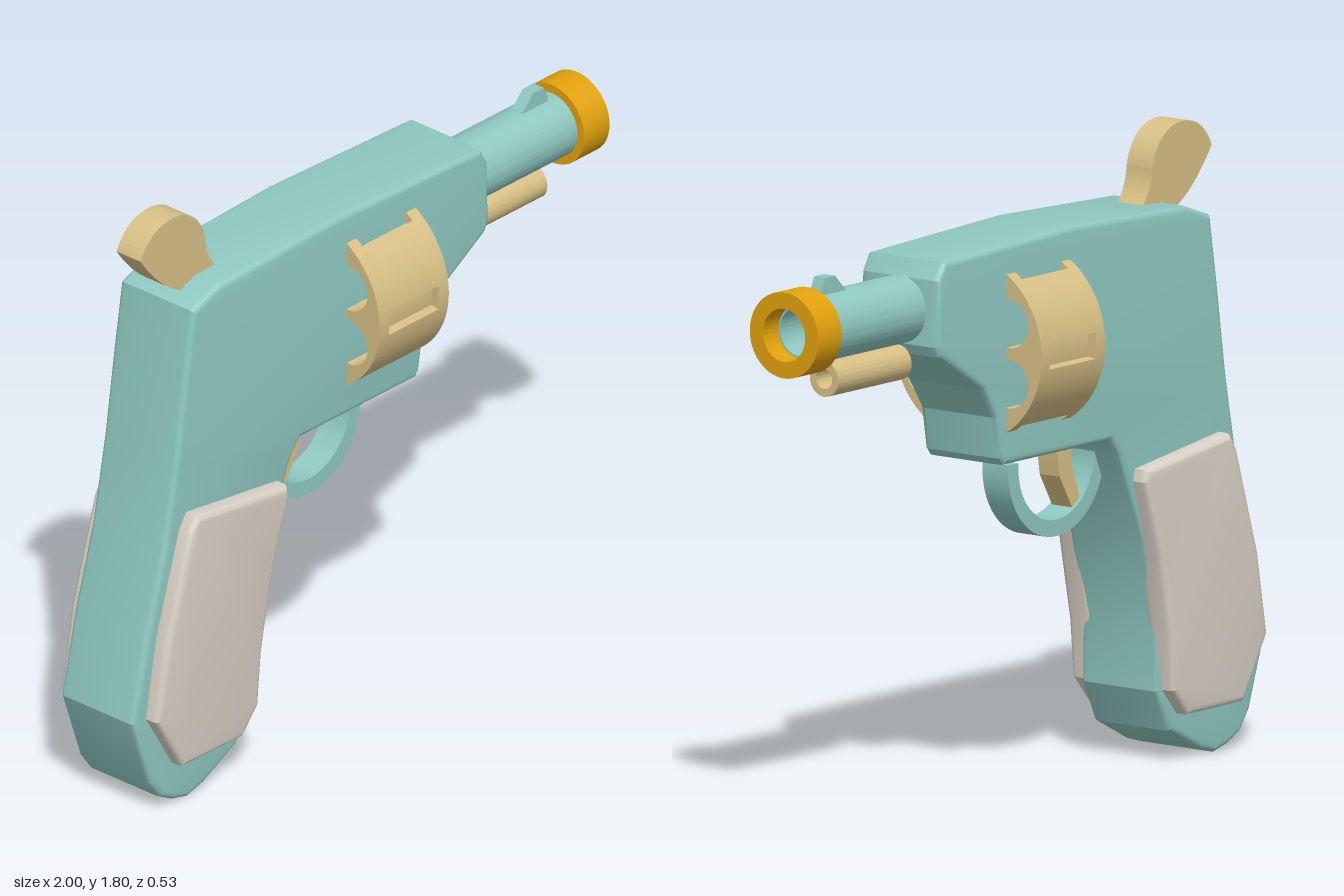
import * as THREE from 'three';
import { toCreasedNormals } from 'three/addons/utils/BufferGeometryUtils.js';

const material = (name, color) => {
  const m = new THREE.MeshStandardMaterial({ color });
  m.name = name;
  return m;
};

const polygon = (points) => new THREE.Shape(points.map(([x, y]) => new THREE.Vector2(x, y)));

// Side-profile plate between two z values, with optional rounded edges
function plate(shape, z0, z1, bevel = 0, crease = 0.3) {
  const g = new THREE.ExtrudeGeometry(shape, {
    depth: z1 - z0 - 2 * bevel, curveSegments: 32,
    bevelEnabled: bevel > 0, bevelSize: bevel, bevelThickness: bevel, bevelOffset: -bevel, bevelSegments: 4,
  });
  g.translate(0, 0, z0 + bevel);
  return toCreasedNormals(g, crease);
}

// Cross-section pushed along x from x0 to x1, centred on height y
function alongX(shape, x0, x1, y) {
  const g = new THREE.ExtrudeGeometry(shape, { depth: x1 - x0, bevelEnabled: false, curveSegments: 40 });
  g.rotateY(Math.PI / 2).translate(x0, y, 0);
  return toCreasedNormals(g, 0.5);
}

function circle(r, hole = 0) {
  const s = new THREE.Shape().absarc(0, 0, r, 0, Math.PI * 2, false);
  if (hole) s.holes.push(new THREE.Path().absarc(0, 0, hole, 0, Math.PI * 2, true));
  return s;
}

// Six chamber holes around the drum axis
function addChambers(shape) {
  for (let i = 0; i < 6; i++) {
    const a = Math.PI / 6 + (i * Math.PI) / 3;
    shape.holes.push(new THREE.Path().absarc(0.172 * Math.cos(a), 0.172 * Math.sin(a), 0.07, 0, Math.PI * 2, true));
  }
  return shape;
}

// Drum outline with six shallow slots
function slottedCircle(r, inner, half) {
  const s = new THREE.Shape();
  for (let i = 0; i < 6; i++) {
    const a = (i * Math.PI) / 3;
    s.absarc(0, 0, inner, a - half, a + half, false);
    s.absarc(0, 0, r, a + half, a + Math.PI / 3 - half, false);
  }
  return s;
}

export function createModel() {
  const model = new THREE.Group();
  model.name = 'toyRevolver';
  const teal = material('teal', 0x8fc8c1);
  const tan = material('tan', 0xd8c086);
  const gold = material('gold', 0xe2a20c);
  const stone = material('stone', 0xd8d0c5);
  const add = (name, geometry, mat, parent = model) => {
    const mesh = new THREE.Mesh(geometry, mat);
    mesh.name = name;
    parent.add(mesh);
    return mesh;
  };

  // Frame and handle in one rounded profile
  add('frame', plate(polygon([
    [-0.75, 1.54], [-0.785, 1.32], [-0.82, 1.08], [-0.87, 0.82], [-0.945, 0.56], [-1, 0.32],
    [-0.925, 0.1], [-0.885, 0.045], [-0.83, 0.015], [-0.77, 0.0], [-0.7, 0.02], [-0.565, 0.09],
    [-0.51, 0.21], [-0.51, 0.4], [-0.455, 0.64], [-0.34, 0.91], [-0.3, 0.96], [0.18, 0.96],
    [0.195, 0.98], [0.215, 1.1], [0.275, 1.19], [0.47, 1.31], [0.485, 1.34], [0.48, 1.53],
    [0.45, 1.58], [-0.13, 1.6], [-0.64, 1.58],
  ]), -0.14, 0.14, 0.018, 0.42), teal);

  // Handle panels, mirrored on both sides
  const panel = polygon([
    [-0.78, 0.915], [-0.81, 0.87], [-0.905, 0.56], [-0.947, 0.32], [-0.84, 0.14], [-0.59, 0.138],
    [-0.525, 0.215], [-0.51, 0.38], [-0.46, 0.63], [-0.395, 0.83], [-0.403, 0.865],
  ]);
  add('leftGripPanel', plate(panel, 0.1, 0.188, 0.02, 0.42), stone);
  add('rightGripPanel', plate(panel, -0.188, -0.1, 0.02, 0.42), stone);

  // Drum: solid ends, slotted middle
  const drum = new THREE.Group();
  drum.name = 'drum';
  model.add(drum);
  const drumY = 1.28;
  add('drumRear', alongX(addChambers(circle(0.266)), -0.112, -0.072, drumY), tan, drum);
  add('drumMiddle', alongX(addChambers(slottedCircle(0.266, 0.238, 0.142)), -0.072, 0.135, drumY), tan, drum);
  add('drumFront', alongX(addChambers(circle(0.266)), 0.135, 0.175, drumY), tan, drum);

  // Barrel, muzzle ring and rod below
  const barrelY = 1.437;
  add('barrel', alongX(circle(0.097, 0.07), 0.46, 0.93, barrelY), teal);
  add('muzzleRing', alongX(circle(0.123, 0.076), 0.895, 1, barrelY), gold);
  add('boreCore', alongX(circle(0.03), 0.47, 0.489, barrelY), tan);
  add('ejectorRod', alongX(circle(0.051, 0.029), 0.49, 0.82, 1.286), tan);

  // Front sight
  add('frontSight', plate(polygon([
    [0.74, 1.51], [0.86, 1.51], [0.855, 1.545], [0.84, 1.58], [0.795, 1.58], [0.75, 1.535],
  ]), -0.02, 0.02), teal);

  // Hammer with rounded spur
  const hammer = new THREE.Shape();
  hammer.moveTo(-0.58, 1.5);
  hammer.lineTo(-0.555, 1.58);
  hammer.quadraticCurveTo(-0.595, 1.625, -0.598, 1.68);
  hammer.bezierCurveTo(-0.62, 1.79, -0.72, 1.82, -0.8, 1.785);
  hammer.quadraticCurveTo(-0.845, 1.76, -0.866, 1.712);
  hammer.quadraticCurveTo(-0.79, 1.6, -0.7, 1.555);
  hammer.lineTo(-0.68, 1.5);
  add('hammer', plate(hammer, -0.046, 0.046), tan);

  // Trigger
  add('trigger', plate(polygon([
    [-0.25, 1], [-0.245, 0.9], [-0.285, 0.79], [-0.25, 0.765], [-0.195, 0.86], [-0.182, 0.94], [-0.182, 1],
  ]), -0.036, 0.036), tan);

  // Open-ended trigger guard band
  const guard = new THREE.Shape();
  guard.absarc(-0.167, 0.913, 0.217, Math.PI * 0.97, Math.PI * 2.025, false);
  guard.absarc(-0.167, 0.913, 0.17, Math.PI * 2.03, Math.PI * 0.97, true);
  add('triggerGuard', plate(guard, -0.046, 0.046), teal);

  return model;
}
